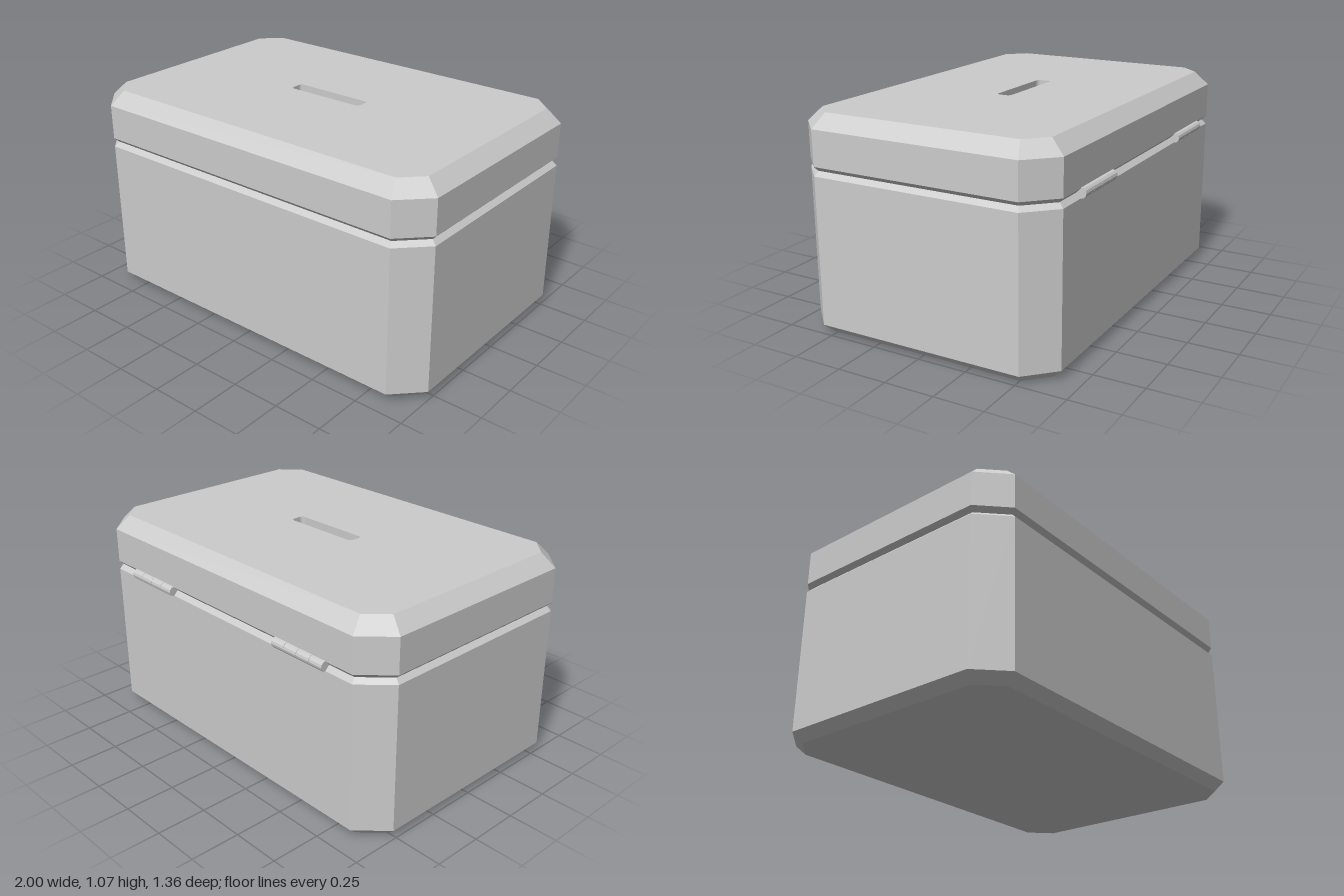
import * as THREE from 'three';

const HALF_X = 1, HALF_Z = 0.667, CENTER_Z = 0.012, CHAMFER = 0.135;
const SEAM_Y = 0.803;

const material = () => new THREE.MeshStandardMaterial({ color: 0xcccccc, flatShading: true });

// Chamfered rectangle, counter-clockwise from above, inset evenly on all eight sides
function outline(inset) {
  const a = HALF_X - inset, b = HALF_Z - inset;
  const c = CHAMFER - inset * (2 - Math.SQRT2);
  return [[a, -b + c], [a, b - c], [a - c, b], [-a + c, b],
    [-a, b - c], [-a, -b + c], [-a + c, -b], [a - c, -b]].map(p => new THREE.Vector2(...p));
}

// Rounded coin slot outline
function slotOutline() {
  const w = 0.212, h = 0.0375, r = 0.02, s = new THREE.Shape();
  s.moveTo(-w + r, -h).lineTo(w - r, -h);
  s.absarc(w - r, -h + r, r, -Math.PI / 2, 0);
  s.absarc(w - r, h - r, r, 0, Math.PI / 2);
  s.absarc(-w + r, h - r, r, Math.PI / 2, Math.PI);
  s.absarc(-w + r, -h + r, r, Math.PI, Math.PI * 1.5);
  return s.getPoints(4).filter((p, i, all) => i === 0 || p.distanceTo(all[i - 1]) > 1e-5);
}

// Wall skinned between stacked rings; each ring is { y, points }
function wall(name, rings, inward = false) {
  const pos = [];
  for (let k = 0; k < rings.length - 1; k++) {
    const lo = rings[k], hi = rings[k + 1], n = lo.points.length;
    for (let i = 0; i < n; i++) {
      const j = (i + 1) % n;
      const at = (ring, m) => [ring.points[m].x, ring.y, -ring.points[m].y];
      const [a, b, c, d] = [at(lo, i), at(lo, j), at(hi, j), at(hi, i)];
      for (const v of inward ? [a, c, b, a, d, c] : [a, b, c, a, c, d]) pos.push(...v);
    }
  }
  const geo = new THREE.BufferGeometry();
  geo.setAttribute('position', new THREE.Float32BufferAttribute(pos, 3));
  geo.computeVertexNormals();
  const mesh = new THREE.Mesh(geo, material());
  mesh.name = name;
  return mesh;
}

// Flat horizontal face, facing up or down
function cap(name, points, y, up = true, hole = null) {
  const shape = new THREE.Shape(points);
  if (hole) shape.holes.push(new THREE.Path(hole));
  const geo = new THREE.ShapeGeometry(shape);
  geo.rotateX(up ? -Math.PI / 2 : Math.PI / 2);
  geo.translate(0, y, 0);
  const mesh = new THREE.Mesh(geo, material());
  mesh.name = name;
  return mesh;
}

const ring = (y, inset) => ({ y, points: outline(inset) });

// Hinge barrel made of four knuckles
function hinge(name, x) {
  const group = new THREE.Group();
  group.name = name;
  const pitch = 0.081;
  for (let i = 0; i < 4; i++) {
    const geo = new THREE.CylinderGeometry(0.025, 0.025, pitch - 0.002, 12);
    geo.rotateZ(Math.PI / 2);
    const knuckle = new THREE.Mesh(geo, material());
    knuckle.name = 'hingeKnuckle';
    knuckle.position.x = (i - 1.5) * pitch;
    group.add(knuckle);
  }
  group.position.set(x, SEAM_Y, -0.655);
  return group;
}

export function createModel() {
  const model = new THREE.Group();
  model.name = 'hingedBox';

  // Lower box with bevelled foot and rim
  const body = new THREE.Group();
  body.name = 'body';
  body.add(
    wall('bodyWalls', [ring(0, 0.048), ring(0.046, 0), ring(0.78, 0), ring(SEAM_Y, 0.022)]),
    cap('bodyBottom', outline(0.048), 0, false),
    cap('bodyRim', outline(0.022), SEAM_Y));

  // Lid with bevelled edges and a coin slot
  const lid = new THREE.Group();
  lid.name = 'lid';
  const slot = slotOutline(), top = 1.068, slotFloor = 0.968;
  lid.add(
    wall('lidWalls', [ring(SEAM_Y, 0.022), ring(0.825, 0), ring(1.0, 0), ring(top, 0.068)]),
    cap('lidUnderside', outline(0.022), SEAM_Y, false),
    cap('lidTop', outline(0.068), top, true, slot),
    wall('slotWalls', [{ y: slotFloor, points: slot }, { y: top, points: slot }], true),
    cap('slotFloor', slot, slotFloor));

  body.position.z = lid.position.z = CENTER_Z;
  model.add(body, lid, hinge('rightHinge', -0.544), hinge('leftHinge', 0.541));
  return model;
}
